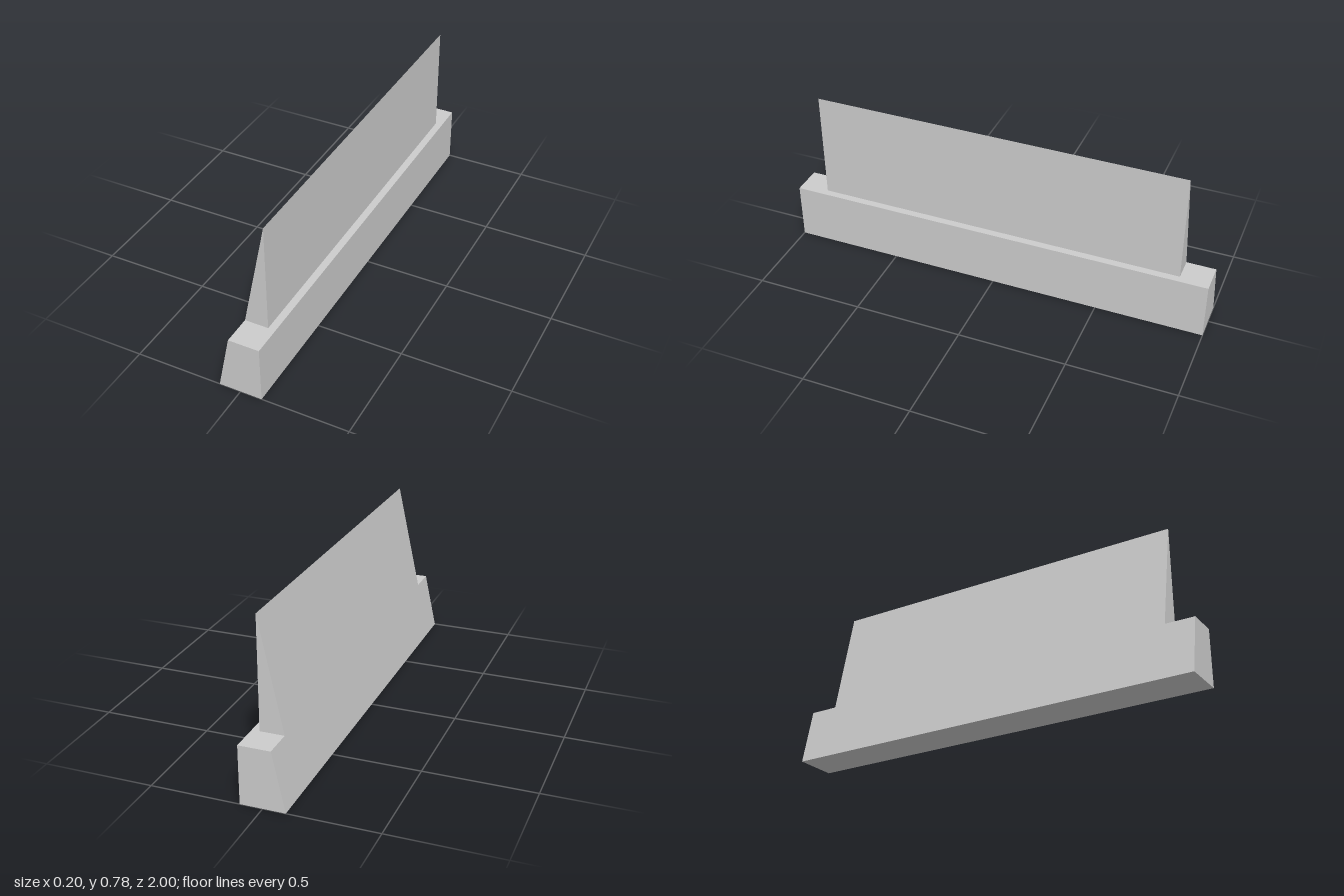
import * as THREE from 'three';

const material = new THREE.MeshStandardMaterial({ color: 0xcccccc, flatShading: true });

// Extrudes an x-y cross-section along z, centred on z = 0
function prism(name, points, length) {
  const shape = new THREE.Shape(points.map(([x, y]) => new THREE.Vector2(x, y)));
  const geometry = new THREE.ExtrudeGeometry(shape, { depth: length, bevelEnabled: false });
  geometry.translate(0, 0, -length / 2);
  const mesh = new THREE.Mesh(geometry, material);
  mesh.name = name;
  return mesh;
}

export function createModel() {
  const group = new THREE.Group();
  group.name = 'wedgeBarrier';

  const baseTop = 0.267;
  const peak = { x: 0.066, y: 0.776 };
  // x of the shared sloping face at a given height
  const slopeX = (y) => -0.1 + ((peak.x + 0.1) * y) / peak.y;

  // Full-length base with one sloping side
  group.add(prism('base', [[-0.1, 0], [0.1, 0], [0.1, baseTop], [slopeX(baseTop), baseTop]], 2));

  // Shorter wedge continuing the slope up to a sharp edge
  group.add(prism('wedge', [[slopeX(baseTop), baseTop], [peak.x, baseTop], [peak.x, peak.y]], 1.73));

  return group;
}
